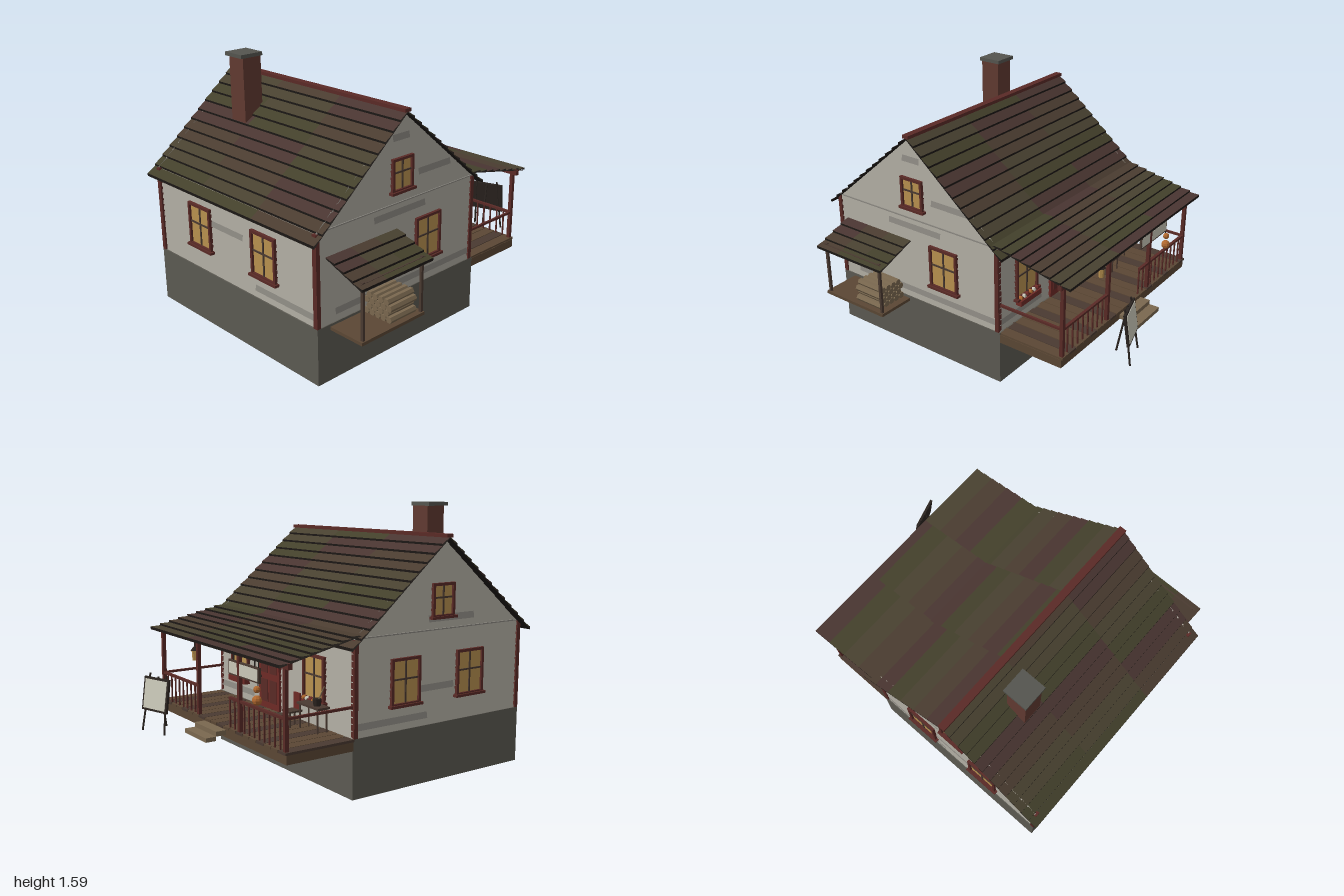
import * as THREE from 'three';

const C = {
  stone: 0x5c5a52, wall: 0xa9a59b, stain: 0x8b8881, red: 0x5a2a26, door: 0x6e2a26, glass: 0xb8914f,
  deck: 0x5b4734, dark: 0x2b2420, brick: 0x613a31, cap: 0x54554f, under: 0x1c1815,
  wood: 0x7a684f, paper: 0xc9c7b8, orange: 0xb0682f, frame: 0x4a3a31,
};
const ROOF = [0x493531, 0x4a3c30, 0x484130, 0x43402b];
const CX = -0.3225, HALF = 0.6275, FLOOR = 0.34;
const mats = {};
const mat = (color) => (mats[color] ??= new THREE.MeshStandardMaterial({ color, flatShading: true, side: THREE.DoubleSide }));

function add(parent, name, geo, color, x = 0, y = 0, z = 0) {
  const m = new THREE.Mesh(geo, mat(color));
  m.name = name;
  m.position.set(x, y, z);
  parent.add(m);
  return m;
}
// box given by its extents
const box = (p, name, color, x0, x1, y0, y1, z0, z1) =>
  add(p, name, new THREE.BoxGeometry(x1 - x0, y1 - y0, z1 - z0), color, (x0 + x1) / 2, (y0 + y1) / 2, (z0 + z1) / 2);

function group(parent, name, x = 0, y = 0, z = 0, ry = 0) {
  const g = new THREE.Group();
  g.name = name;
  g.position.set(x, y, z);
  g.rotation.y = ry;
  parent.add(g);
  return g;
}
// round bar between two points
function bar(p, name, color, a, b, r) {
  const va = new THREE.Vector3(...a), vb = new THREE.Vector3(...b);
  const m = add(p, name, new THREE.CylinderGeometry(r, r, va.distanceTo(vb), 6), color);
  m.position.copy(va).lerp(vb, 0.5);
  m.quaternion.setFromUnitVectors(new THREE.Vector3(0, 1, 0), vb.sub(va).normalize());
  return m;
}
// flat four-cornered faces
function quads(parent, name, list, color) {
  const pos = list.flatMap(([a, b, c, d]) => [a, b, c, a, c, d].flat());
  const g = new THREE.BufferGeometry();
  g.setAttribute('position', new THREE.Float32BufferAttribute(pos, 3));
  g.computeVertexNormals();
  return add(parent, name, g, color);
}

// overlapping clapboards; half(y) is the half width of the wall at height y
function clapboards(parent, half, y0, y1, n, patches = []) {
  const boards = [], stains = [], h = (y1 - y0) / n, lip = 0.007;
  for (let i = 0; i < n; i++) {
    const a = y0 + i * h, b = a + h, wa = half(a), wb = half(b);
    boards.push([[-wa, a, lip], [wa, a, lip], [wb, b, 0], [-wb, b, 0]]);
    boards.push([[-wa, a, 0], [wa, a, 0], [wa, a, lip], [-wa, a, lip]]);
    for (const [row, l, r] of patches) if (row === i) {
      const lim = (x, w) => Math.max(-w, Math.min(w, x));
      stains.push([[lim(l, wa), a, lip + 0.001], [lim(r, wa), a, lip + 0.001], [lim(r, wb), b, 0.001], [lim(l, wb), b, 0.001]]);
    }
  }
  quads(parent, 'clapboards', boards, C.wall);
  if (stains.length) quads(parent, 'weatheredBoards', stains, C.stain);
}

function windowAt(parent, x, y, w, h) {
  const g = group(parent, 'window', x, y, 0), t = 0.016;
  box(g, 'glass', C.glass, -w / 2, w / 2, -h / 2, h / 2, -0.005, 0.009);
  for (const s of [-1, 1]) {
    box(g, 'windowJamb', C.red, s * w / 2 - t / 2, s * w / 2 + t / 2, -h / 2, h / 2, 0, 0.022);
    box(g, 'windowRail', C.red, -w / 2 - t / 2, w / 2 + t / 2, s * h / 2 - t / 2, s * h / 2 + t / 2, 0, 0.022);
  }
  box(g, 'mullion', C.frame, -0.005, 0.005, -h / 2, h / 2, 0, 0.015);
  box(g, 'crossBar', C.frame, -w / 2, w / 2, 0.01, 0.02, 0, 0.015);
  box(g, 'sill', C.red, -w / 2 - 0.02, w / 2 + 0.02, -h / 2 - 0.015, -h / 2, 0, 0.033);
}

// stepped rows of roof boards falling from (x0,y0) to (x1,y1), running along z
function roof(parent, name, x0, y0, x1, y1, n, z0, z1, seed) {
  const g = group(parent, name), byColor = ROOF.map(() => []), edges = [], lift = 0.012;
  for (let i = 0; i < n; i++) {
    const at = (k) => [x0 + (x1 - x0) * k / n, y0 + (y1 - y0) * k / n];
    const [xa, ya] = at(i), [xb, yb] = at(i + 1);
    for (let j = 0; j < 3; j++) {
      const za = z0 + (z1 - z0) * j / 3, zb = z0 + (z1 - z0) * (j + 1) / 3;
      const pick = (Math.floor(i / 2) * 5 + j * 3 + seed + (i * j) % 2) % 4;
      byColor[pick].push([[xa, ya, za], [xa, ya, zb], [xb, yb + lift, zb], [xb, yb + lift, za]]);
    }
    edges.push([[xb, yb + lift, z0], [xb, yb + lift, z1], [xb, yb - 0.002, z1], [xb, yb - 0.002, z0]]);
  }
  byColor.forEach((q, k) => q.length && quads(g, 'roofBoards', q, ROOF[k]));
  quads(g, 'boardEdges', edges, C.under);
  quads(g, 'roofUnderside', [[[x0, y0 - 0.005, z0], [x0, y0 - 0.005, z1], [x1, y1 - 0.005, z1], [x1, y1 - 0.005, z0]]], C.under);
}

function house(root) {
  // open-bottomed foundation and floor
  const f = [[-0.96, 0.615], [0.315, 0.615], [0.315, -0.84], [-0.96, -0.84]];
  quads(root, 'foundation', f.map(([x, z], i) => {
    const [u, v] = f[(i + 1) % 4];
    return [[x, 0, z], [u, 0, v], [u, FLOOR, v], [x, FLOOR, z]];
  }), C.stone);
  quads(root, 'foundationTop', [f.map(([x, z]) => [x, FLOOR, z])], C.stone);
  quads(root, 'floorUnderside', [f.map(([x, z]) => [x * 0.995, FLOOR - 0.004, z * 0.995])], 0x111111);

  // walls
  const gable = (y) => Math.min(HALF, Math.max(0, (1.4 - y) / 0.822));
  const front = group(root, 'frontWall', CX, 0, 0.602);
  const back = group(root, 'backWall', CX, 0, -0.828, Math.PI);
  const right = group(root, 'porchWall', 0.3, 0, -0.113, Math.PI / 2);
  const left = group(root, 'sideWall', -0.945, 0, -0.113, -Math.PI / 2);
  clapboards(front, gable, FLOOR, 1.4, 27, [[1, -0.5, 0.6], [12, -0.21, 0.2], [17, 0.14, 0.41], [23, -0.07, 0.06]]);
  clapboards(back, gable, FLOOR, 1.4, 27, [[5, -0.3, 0.1], [15, -0.1, 0.25], [1, -0.6, -0.1]]);
  clapboards(right, () => 0.715, FLOOR, 0.878, 14, [[10, 0, 0.3], [1, -0.7, -0.3]]);
  clapboards(left, () => 0.715, FLOOR, 0.878, 14, [[8, -0.3, 0.1], [1, 0.2, 0.7]]);
  for (const w of [front, back]) {
    box(w, 'beltBoard', C.stain, -HALF, HALF, 0.881, 0.888, 0, 0.01);
    windowAt(w, 0, 1.05, 0.15, 0.18);
  }
  windowAt(front, 0.222, 0.615, 0.195, 0.255);
  for (const x of [-0.27, 0.22]) windowAt(back, x, 0.615, 0.195, 0.255);
  for (const x of [-0.3, 0.29]) windowAt(left, x, 0.615, 0.195, 0.255);
  for (const x of [-0.46, 0.36]) windowAt(right, x, 0.615, 0.195, 0.25);
  for (const x of [-0.948, 0.293]) for (const z of [-0.826, 0.6])
    box(root, 'cornerBoard', C.red, x - 0.013, x + 0.013, FLOOR, 0.88, z - 0.015, z + 0.015);

  // door
  box(right, 'door', C.door, -0.22, 0.005, FLOOR, 0.74, 0, 0.02);
  for (const y of [0.38, 0.56]) for (const x of [-0.19, -0.095])
    box(right, 'doorPanel', C.red, x, x + 0.075, y, y + 0.14, 0.018, 0.024);
  add(right, 'doorKnob', new THREE.SphereGeometry(0.01, 8, 6), C.dark, -0.19, 0.53, 0.03);

  // roof, ridge and chimney
  roof(root, 'rightRoof', -0.32, 1.405, 0.355, 0.835, 12, -0.885, 0.645, 0);
  roof(root, 'leftRoof', -0.32, 1.405, -1, 0.83, 12, -0.885, 0.645, 2);
  box(root, 'ridgeCap', C.red, -0.342, -0.298, 1.402, 1.422, -0.885, 0.647);
  box(root, 'chimney', C.brick, -0.6, -0.47, 0.95, 1.57, -0.53, -0.4);
  box(root, 'chimneyCap', C.cap, -0.615, -0.46, 1.568, 1.59, -0.55, -0.395);
}

function porch(root) {
  const g = group(root, 'porch');
  box(g, 'deckFrame', C.deck, 0.31, 0.74, 0.275, 0.328, -0.84, 0.612);
  for (let i = 0; i < 20; i++) {
    const z = -0.842 + i * 0.0728;
    box(g, 'deckBoard', i % 3 ? C.deck : C.frame, 0.305, 0.747, 0.326, FLOOR, z, z + 0.068);
  }
  box(g, 'upperStep', C.wood, 0.755, 0.82, 0.3, 0.328, -0.245, 0.01);
  box(g, 'lowerStep', C.wood, 0.82, 0.885, 0.275, 0.3, -0.245, 0.01);
  roof(g, 'porchRoof', 0.28, 0.91, 0.8, 0.797, 8, -0.87, 0.63, 1);
  box(g, 'headerBeam', C.red, 0.717, 0.743, 0.775, 0.808, -0.865, 0.628);
  for (const z of [0.59, 0.12, -0.36, -0.82]) box(g, 'porchPost', C.red, 0.719, 0.741, FLOOR, 0.78, z - 0.011, z + 0.011);

  // railings
  for (const [a, b] of [[0.12, 0.59], [-0.82, -0.25]]) {
    box(g, 'handRail', C.red, 0.721, 0.739, 0.506, 0.52, a, b);
    const n = Math.round((b - a) / 0.052);
    for (let i = 0; i <= n; i++) {
      const z = a + (b - a) * i / n;
      box(g, 'baluster', C.red, 0.726, 0.734, FLOOR, 0.508, z - 0.004, z + 0.004);
    }
  }
  for (const z of [0.59, -0.82]) box(g, 'endRail', C.red, 0.3, 0.73, 0.506, 0.52, z - 0.007, z + 0.007);

  // hanging board, lantern and gourds
  box(g, 'boardFrame', C.frame, 0.722, 0.736, 0.65, 0.735, -0.57, -0.25);
  box(g, 'boardFace', C.paper, 0.719, 0.739, 0.66, 0.725, -0.56, -0.26);
  for (const z of [-0.52, -0.3]) bar(g, 'boardHanger', C.dark, [0.73, 0.73, z], [0.73, 0.78, z], 0.004);
  bar(g, 'lanternHook', C.dark, [0.72, 0.73, 0.185], [0.72, 0.78, 0.185], 0.004);
  add(g, 'lanternRoof', new THREE.ConeGeometry(0.026, 0.032, 6), C.dark, 0.72, 0.73, 0.185);
  add(g, 'lanternGlass', new THREE.CylinderGeometry(0.019, 0.015, 0.06, 6), C.glass, 0.72, 0.685, 0.185);
  for (const [y, r] of [[0.56, 0.028], [0.62, 0.02]])
    add(g, 'gourd', new THREE.SphereGeometry(r, 8, 6), C.orange, 0.742, y, -0.56);
  bar(g, 'gourdCord', C.dark, [0.735, 0.63, -0.56], [0.73, 0.78, -0.56], 0.003);

  // table with pot, stool, and window boxes
  box(g, 'tableTop', C.frame, 0.335, 0.415, 0.475, 0.487, -0.66, -0.45);
  for (const x of [0.345, 0.405]) for (const z of [-0.64, -0.47]) bar(g, 'tableLeg', C.frame, [x, FLOOR, z], [x, 0.478, z], 0.005);
  add(g, 'pot', new THREE.CylinderGeometry(0.026, 0.02, 0.042, 8), C.dark, 0.38, 0.507, -0.6);
  bar(g, 'potSpoon', C.wood, [0.38, 0.5, -0.6], [0.36, 0.6, -0.64], 0.004);
  box(g, 'stoolSeat', C.frame, 0.38, 0.47, 0.425, 0.435, -0.46, -0.38);
  for (const x of [0.39, 0.46]) for (const z of [-0.45, -0.39]) bar(g, 'stoolLeg', C.frame, [x, FLOOR, z], [x, 0.427, z], 0.005);
  box(g, 'stoolBack', C.door, 0.385, 0.395, 0.43, 0.53, -0.45, -0.39);
  for (const z of [0.345, -0.473]) {
    box(g, 'windowBox', C.door, 0.305, 0.345, 0.445, 0.478, z - 0.1, z + 0.1);
    for (let i = 0; i < 6; i++)
      add(g, 'flower', new THREE.IcosahedronGeometry(0.017, 0), [C.door, C.paper, C.orange][i % 3], 0.325, 0.488, z - 0.08 + i * 0.032);
  }
}

function woodShelter(root) {
  const g = group(root, 'woodShelter');
  box(g, 'shelterFloor', C.deck, -0.87, -0.39, 0.307, 0.326, 0.6, 0.855);
  for (const x of [-0.85, -0.405]) box(g, 'shelterPost', C.frame, x - 0.008, x + 0.008, 0.31, 0.66, 0.832, 0.848);
  roof(group(g, 'shelterRoofFrame', 0, 0, 0, -Math.PI / 2), 'shelterRoof', 0.61, 0.735, 0.88, 0.635, 4, 0.357, 0.893, 2);
  box(g, 'shelterBeam', C.frame, -0.87, -0.385, 0.64, 0.655, 0.832, 0.848);
  // stacked logs
  for (let row = 0; row < 4; row++) for (let i = 0; i < 5 - row % 2; i++) {
    const log = add(g, 'log', new THREE.CylinderGeometry(0.021, 0.021, 0.2, 6), C.wood, -0.53, 0.348 + row * 0.033, 0.645 + i * 0.042 + (row % 2) * 0.021);
    log.rotation.z = Math.PI / 2;
  }
}

function easel(root) {
  const g = group(root, 'easel', 0.955, 0.24, 0.235, Math.PI / 2 + 0.29);
  const board = group(g, 'easelBoard', 0, 0.225, 0);
  board.rotation.x = -0.15;
  box(board, 'easelFrame', C.dark, -0.105, 0.105, -0.1, 0.1, -0.008, 0.008);
  box(board, 'easelFace', C.paper, -0.092, 0.092, -0.087, 0.087, 0, 0.011);
  for (const s of [-1, 1]) bar(g, 'easelLeg', C.dark, [s * 0.095, 0, 0.03], [s * 0.07, 0.345, -0.022], 0.006);
  bar(g, 'easelBackLeg', C.dark, [0, 0.02, -0.075], [0, 0.33, -0.022], 0.006);
}

export function createModel() {
  const root = new THREE.Group();
  root.name = 'cottage';
  [house, porch, woodShelter, easel].forEach((build) => build(root));
  return root;
}
